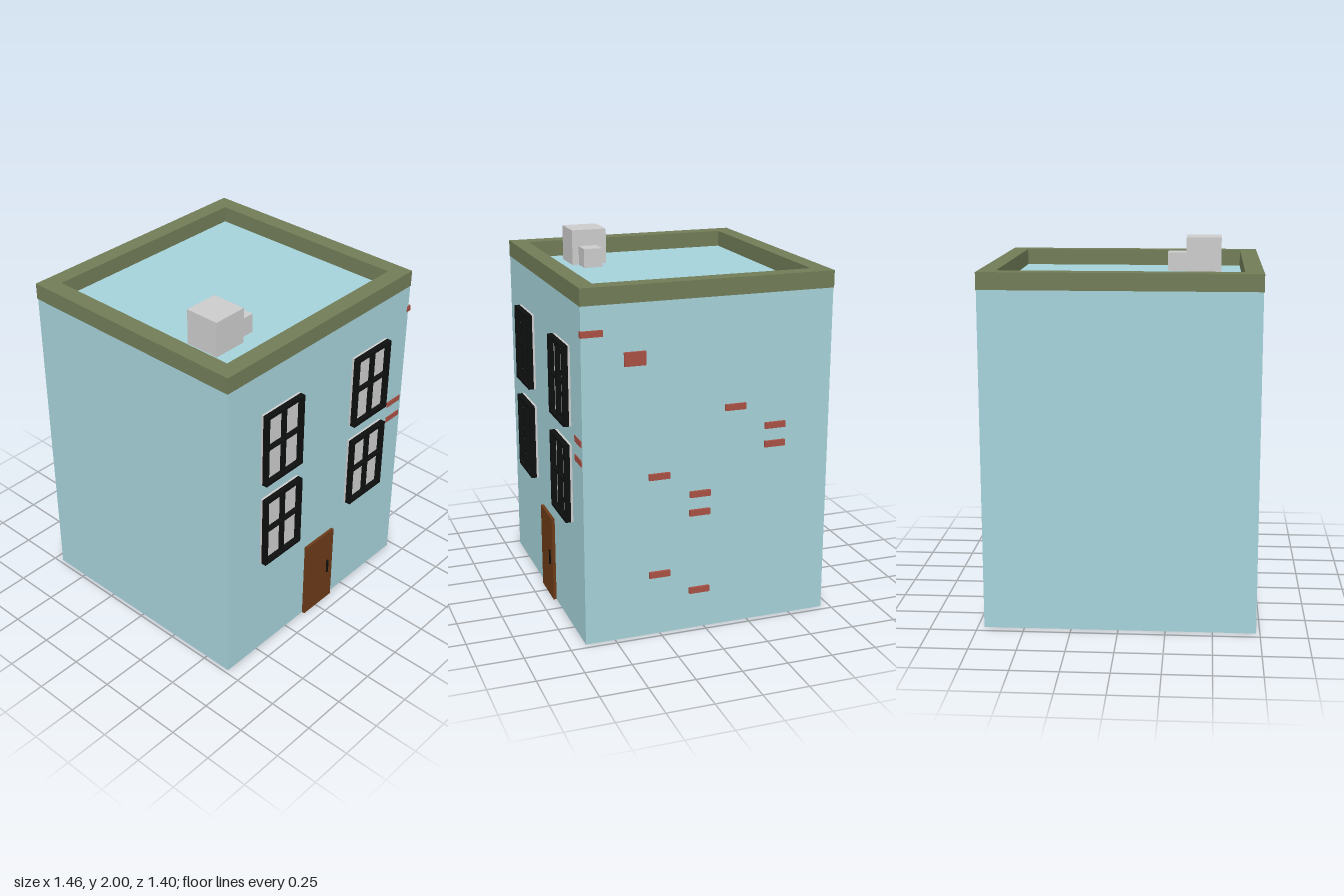
import * as THREE from 'three';

const mat = (color) => new THREE.MeshStandardMaterial({ color });

// Box given by its limits on each axis
function block(parent, name, material, [x0, x1], [y0, y1], [z0, z1]) {
  const mesh = new THREE.Mesh(new THREE.BoxGeometry(x1 - x0, y1 - y0, z1 - z0), material);
  mesh.position.set((x0 + x1) / 2, (y0 + y1) / 2, (z0 + z1) / 2);
  mesh.name = name;
  parent.add(mesh);
  return mesh;
}

function rect(Type, x0, x1, y0, y1) {
  return new Type([[x0, y0], [x1, y0], [x1, y1], [x0, y1]].map(([x, y]) => new THREE.Vector2(x, y)));
}

export function createModel() {
  const model = new THREE.Group();
  model.name = 'townhouse';
  const wall = mat(0xa5d2d9), trim = mat(0x717c57), grey = mat(0xcccccc);
  const black = mat(0x0d0f0e), wood = mat(0x6b3a17), clay = mat(0xa85044);
  const front = 0.66, side = 0.715, roof = 1.805;

  block(model, 'walls', wall, [-0.73, side], [0, roof], [-0.7, front]);

  // Parapet ring around the flat roof
  const ring = rect(THREE.Shape, -0.733, 0.717, -0.662, 0.703);
  ring.holes.push(rect(THREE.Path, -0.637, 0.625, -0.57, 0.61));
  const parapet = new THREE.Mesh(
    new THREE.ExtrudeGeometry(ring, { depth: 0.09, bevelEnabled: false }).rotateX(-Math.PI / 2), trim);
  parapet.position.y = roof;
  parapet.name = 'parapet';
  model.add(parapet);

  // Rooftop boxes
  block(model, 'chimney', grey, [-0.525, -0.328], [roof, 2], [0.2, 0.397]);
  block(model, 'roofVent', grey, [-0.328, -0.222], [roof, 1.91], [0.255, 0.36]);

  // Windows: grey pane plate with a raised frame and crossed glazing bars
  const w = 0.285, h = 0.425, b = 0.018;
  for (const [x, y] of [[-0.343, 1.353], [0.378, 1.353], [-0.338, 0.828], [0.378, 0.828]]) {
    const win = new THREE.Group();
    win.name = 'window';
    win.position.set(x, y, front);
    block(win, 'pane', grey, [-w / 2, w / 2], [-h / 2, h / 2], [0, 0.012]);
    const outline = rect(THREE.Shape, -w / 2, w / 2, -h / 2, h / 2);
    outline.holes.push(rect(THREE.Path, -w / 2 + b, w / 2 - b, -h / 2 + b, h / 2 - b));
    const frame = new THREE.Mesh(
      new THREE.ExtrudeGeometry(outline, { depth: 0.03, bevelEnabled: false }), black);
    frame.position.z = 0.012;
    frame.name = 'windowFrame';
    win.add(frame);
    block(win, 'verticalBar', black, [-0.006, 0.006], [-h / 2 + b, h / 2 - b], [0.012, 0.04]);
    block(win, 'horizontalBar', black, [-w / 2 + b, w / 2 - b], [0.004, 0.016], [0.012, 0.039]);
    model.add(win);
  }

  // Door and handle
  block(model, 'door', wood, [-0.1, 0.135], [0, 0.485], [front, 0.677]);
  block(model, 'doorHandle', black, [0.083, 0.094], [0.2, 0.285], [0.677, 0.685]);

  // Exposed bricks on the side wall: back z, bottom y, height
  const bricks = [
    [0.325, 1.487, 0.072], [-0.22, 1.203, 0.033], [-0.445, 1.082, 0.033], [-0.445, 0.98, 0.033],
    [0.197, 0.872, 0.033], [-0.027, 0.75, 0.033], [-0.027, 0.647, 0.033],
    [0.197, 0.327, 0.033], [-0.027, 0.205, 0.033],
  ];
  for (const [z, y, t] of bricks) {
    block(model, 'sideBrick', clay, [side - 0.01, 0.73], [y, y + t], [z, z + 0.114]);
  }
  block(model, 'cornerBrick', clay, [0.702, 0.73], [1.65, 1.682], [0.55, 0.664]);

  // Exposed bricks on the front wall
  for (const y of [1.082, 0.98]) {
    block(model, 'frontBrick', clay, [0.585, 0.7], [y, y + 0.033], [front - 0.01, 0.664]);
  }
  return model;
}
